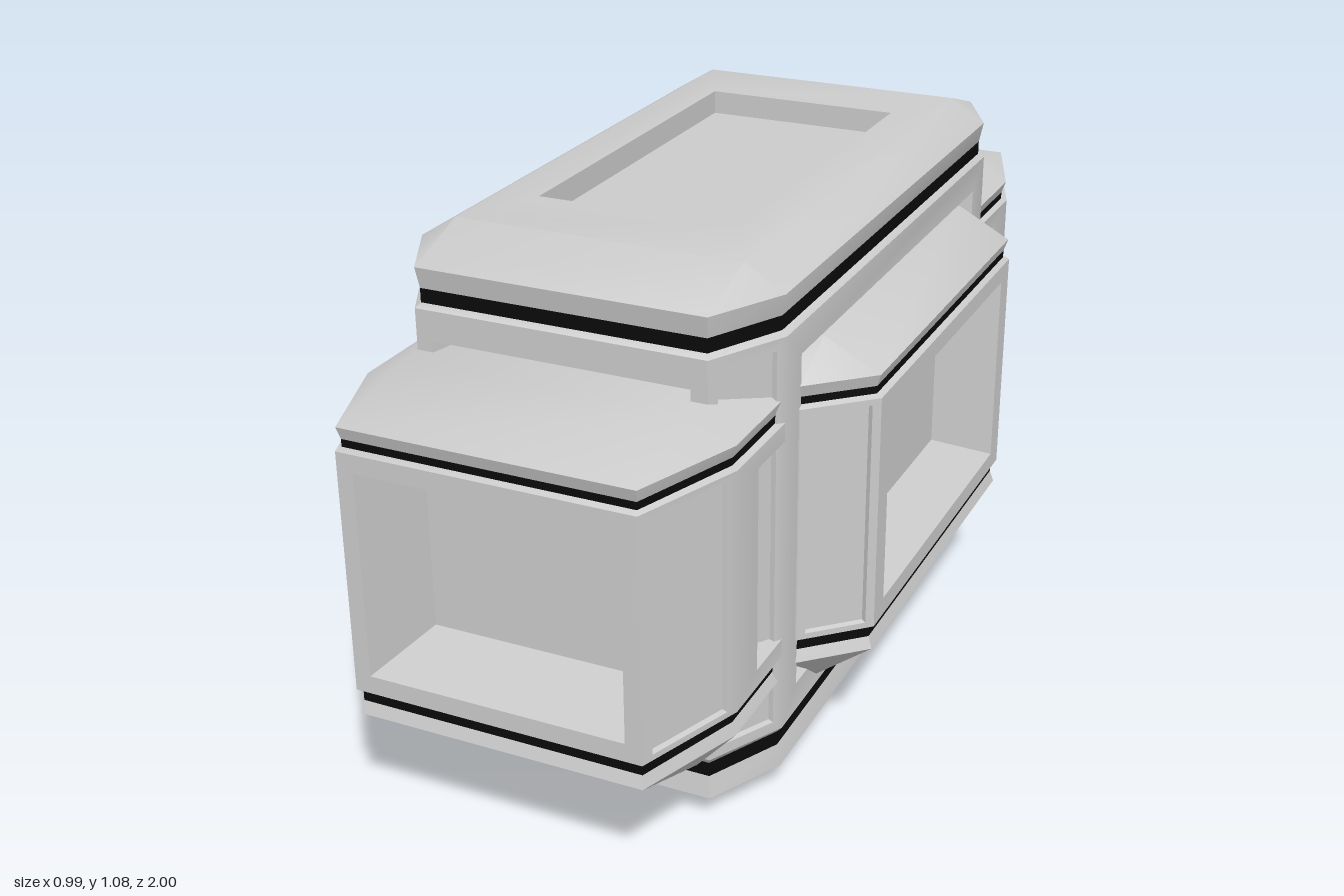
import * as THREE from 'three';
import { toCreasedNormals } from 'three/addons/utils/BufferGeometryUtils.js';

const grey = new THREE.MeshStandardMaterial({ color: 0xcccccc });
const black = new THREE.MeshStandardMaterial({ color: 0x0a0a0a });

const V = (x, y, z) => new THREE.Vector3(x, y, z);

// Eight-sided plan: outer half sizes X, Z; the corners are cut from (x, Z) to (X, z).
const ring = (X, Z, x, z, y) => [
  V(x, y, Z), V(X, y, z), V(X, y, -z), V(x, y, -Z),
  V(-x, y, -Z), V(-X, y, -z), V(-X, y, z), V(-x, y, Z),
];

function tri(out, a, b, c) {
  const area = b.clone().sub(a).cross(c.clone().sub(a)).length();
  if (area > 1e-9) out.push(a, b, c);
}

// Joins successive loops of points, optionally filling the last one.
function loft(out, loops, fill = false) {
  for (let k = 0; k + 1 < loops.length; k++) {
    const a = loops[k], b = loops[k + 1], n = a.length;
    for (let i = 0; i < n; i++) {
      const j = (i + 1) % n;
      tri(out, a[i], a[j], b[j]);
      tri(out, a[i], b[j], b[i]);
    }
  }
  if (fill) cover(out, loops[loops.length - 1]);
}

function cover(out, loop) {
  for (let i = 1; i + 1 < loop.length; i++) tri(out, loop[0], loop[i], loop[i + 1]);
}

// Wall between two plan corners with a recess that narrows towards its floor.
function panel(out, a, b, y0, y1, { mu, mv, bu, bv, depth }) {
  const along = b.clone().sub(a);
  const width = along.length();
  along.normalize();
  const normal = along.clone().cross(V(0, 1, 0));
  const rect = (u, v, d) => [[u, y0 + v], [width - u, y0 + v], [width - u, y1 - v], [u, y1 - v]]
    .map(([s, y]) => a.clone().addScaledVector(along, s).addScaledVector(normal, -d).setY(y));
  loft(out, [rect(0, 0, 0), rect(mu, mv, 0), rect(mu + bu, mv + bv, depth)], true);
}

function mesh(name, points, material) {
  const geometry = new THREE.BufferGeometry().setFromPoints(points);
  const m = new THREE.Mesh(toCreasedNormals(geometry, 0.6), material);
  m.name = name;
  return m;
}

// One chamfered module: walls with windows, dark seams, and sloping caps.
function module(name, { X, Z, x, z, y, ends, sides, corners, topRecess }) {
  const [base, rimLow, seamLow0, seamLow1, wall0, wall1, seamTop0, seamTop1, rimTop, top] = y;
  const inset = (d, h) => ring(X - d, Z - d, x - d / 2, z - d / 2, h);
  const group = new THREE.Group();
  group.name = name;

  // walls
  const walls = [];
  const plan = ring(X, Z, x, z, 0);
  for (let i = 0; i < 8; i++) {
    const spec = i % 2 === 0 ? corners : i % 4 === 1 ? sides : ends;
    panel(walls, plan[i], plan[(i + 1) % 8], wall0, wall1, spec);
  }
  loft(walls, [inset(0.012, seamLow1), inset(0, wall0)]);
  loft(walls, [inset(0, wall1), inset(0.012, seamTop0)]);
  group.add(mesh('walls', walls, grey));

  // dark seams
  const seams = [];
  loft(seams, [inset(0.012, seamLow0), inset(0.012, seamLow1)]);
  loft(seams, [inset(0.012, seamTop0), inset(0.012, seamTop1)]);
  group.add(mesh('seams', seams, black));

  // lower cap
  const lower = [];
  const foot = ring(x, z, x, z, base);
  cover(lower, [...foot].reverse());
  loft(lower, [foot, inset(0.004, rimLow), inset(0.012, seamLow0)]);
  group.add(mesh('lowerCap', lower, grey));

  // upper cap, with an optional sunken panel
  const upper = [];
  const loops = [inset(0.012, seamTop1), inset(0.004, rimTop), ring(x, z, x, z, top)];
  if (topRecess) {
    const [rx, rz, depth] = topRecess;
    loops.push(ring(rx, rz, rx, rz, top), ring(rx, rz, rx, rz, top - depth));
  }
  loft(upper, loops, true);
  group.add(mesh('upperCap', upper, grey));
  return group;
}

export function createModel() {
  const model = new THREE.Group();
  model.name = 'chamferedContainer';
  const window = (mu, mv, depth) => ({ mu, mv, bu: 0.035, bv: 0.025, depth });
  const slot = (mu, mv) => ({ mu, mv, bu: 0.003, bv: 0.003, depth: 0.01 });

  // tall central body
  model.add(module('centralBody', {
    X: 0.375, Z: 0.725, x: 0.293, z: 0.57,
    y: [0, 0.05, 0.095, 0.125, 0.14, 0.957, 0.965, 0.993, 1.035, 1.083],
    ends: window(0.033, 0.06, 0.14), sides: window(0.07, 0.06, 0.13),
    corners: slot(0.022, 0.022), topRecess: [0.21, 0.403, 0.05],
  }));

  // long module running through the body, seen as the front and back pods
  model.add(module('frontAndBackPods', {
    X: 0.374, Z: 1, x: 0.293, z: 0.78,
    y: [0.165, 0.25, 0.275, 0.295, 0.303, 0.79, 0.795, 0.81, 0.835, 0.875],
    ends: window(0.033, 0.037, 0.17), sides: window(0.09, 0.037, 0.13),
    corners: slot(0.025, 0.012),
  }));

  // wide module running across the body, seen as the left and right pods
  model.add(module('sidePods', {
    X: 0.495, Z: 0.51, x: 0.378, z: 0.4,
    y: [0.165, 0.25, 0.275, 0.295, 0.303, 0.79, 0.795, 0.81, 0.835, 0.895],
    ends: window(0.033, 0.037, 0.1), sides: window(0.05, 0.037, 0.13),
    corners: slot(0.018, 0.012),
  }));

  return model;
}
